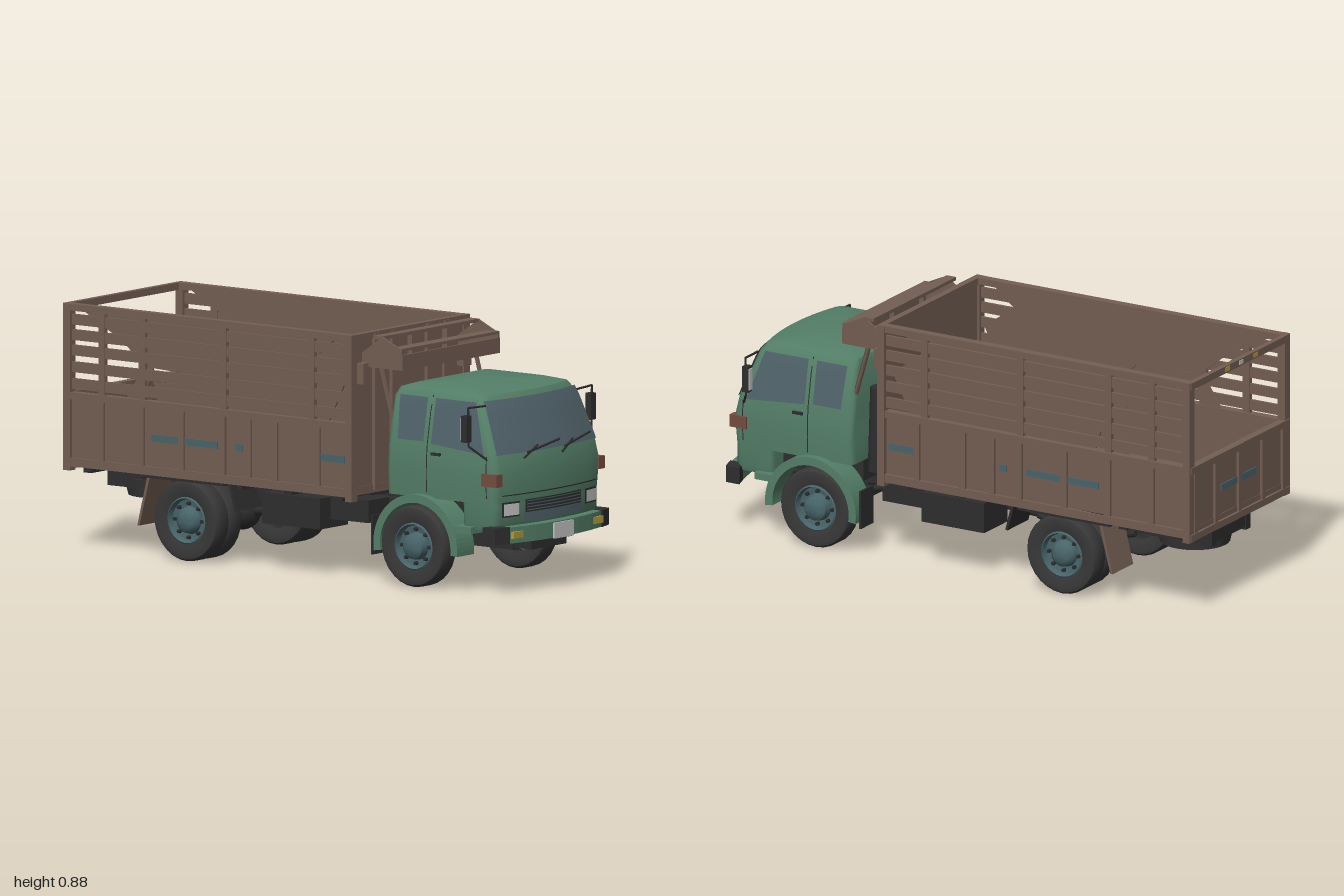
import * as THREE from 'three';
import { toCreasedNormals } from 'three/addons/utils/BufferGeometryUtils.js';

const V = (x, y, z) => new THREE.Vector3(x, y, z);
const mat = (name, color) => new THREE.MeshStandardMaterial({ name, color, side: THREE.DoubleSide });

// Cab sections: height, half width, back z, front z
const cabLevels = [
  [0.32, 0.300, 0.435, 0.955], [0.42, 0.305, 0.435, 0.962], [0.50, 0.300, 0.435, 0.945],
  [0.67, 0.270, 0.440, 0.878], [0.698, 0.252, 0.450, 0.858], [0.712, 0.205, 0.490, 0.800],
];
const BOW = 0.035;

function cabAt(y) {
  const L = cabLevels;
  if (y <= L[0][0]) return L[0];
  const i = Math.max(1, L.findIndex(l => l[0] >= y));
  const t = (y - L[i - 1][0]) / (L[i][0] - L[i - 1][0]);
  return L[i].map((v, k) => L[i - 1][k] + (v - L[i - 1][k]) * t);
}
function frontZ(x, y) {
  const l = cabAt(y);
  return l[3] - BOW * (x / l[1]) ** 2;
}

// Rounded, bowed-front sections joined upwards and capped
function loft(levels, r = 0.025) {
  const pos = [], idx = [];
  let n = 0;
  for (const [y, w, zb, zf] of levels) {
    const ring = [];
    [[1, 1], [-1, 1], [-1, -1], [1, -1]].forEach(([sx, sz], c) => {
      for (let k = 0; k <= 4; k++) {
        const a = (c + k / 4) * Math.PI / 2;
        ring.push([sx * (w - r) + r * Math.cos(a), (sz > 0 ? zf - r : zb + r) + r * Math.sin(a)]);
      }
      if (c === 0) for (let k = 1; k < 8; k++) ring.push([(w - r) * (1 - k / 4), zf]);
    });
    n = ring.length;
    for (const [x, z] of ring) pos.push(x, y, z - BOW * (x / w) ** 2 * (z - zb) / (zf - zb));
  }
  const rows = levels.length;
  for (let i = 0; i < rows - 1; i++) for (let j = 0; j < n; j++) {
    const a = i * n + j, b = i * n + (j + 1) % n;
    idx.push(a, a + n, b, b, a + n, b + n);
  }
  for (const [row, top] of [[0, false], [rows - 1, true]]) {
    const c = pos.length / 3, l = levels[row];
    pos.push(0, l[0] + (top ? 0.003 : 0), (l[2] + l[3]) / 2);
    for (let j = 0; j < n; j++) {
      const a = row * n + j, b = row * n + (j + 1) % n;
      top ? idx.push(c, b, a) : idx.push(c, a, b);
    }
  }
  const g = new THREE.BufferGeometry();
  g.setAttribute('position', new THREE.Float32BufferAttribute(pos, 3));
  g.setIndex(idx);
  return toCreasedNormals(g, 0.6);
}

// Four-cornered thin patch laid on the cab: corners are bottom pair then top pair
function patch(c, toSurface) {
  const g = new THREE.PlaneGeometry(1, 1, 14, 6), p = g.attributes.position;
  for (let i = 0; i < p.count; i++) {
    const s = p.getX(i) + 0.5, t = p.getY(i) + 0.5;
    const mix = k => (c[0][k] * (1 - s) + c[1][k] * s) * (1 - t) + (c[2][k] * (1 - s) + c[3][k] * s) * t;
    p.setXYZ(i, ...toSurface(mix(0), mix(1)));
  }
  g.computeVertexNormals();
  return g;
}
const onFront = (lift = 0.004) => (x, y) => [x, y, frontZ(x, y) + lift];
const onSide = s => (z, y) => [s * (cabAt(y)[1] + 0.003), y, z];
const rect = (x0, x1, y0, y1) => [[x0, y0], [x1, y0], [x0, y1], [x1, y1]];

// Side profile (z, y) extruded between two x positions
function sideExtrude(shape, x0, x1) {
  return new THREE.ExtrudeGeometry(shape, { depth: x1 - x0, bevelEnabled: false, curveSegments: 20 })
    .rotateY(-Math.PI / 2).translate(x1, 0, 0);
}

export function createModel() {
  const truck = new THREE.Group();
  truck.name = 'truck';
  const M = {
    green: mat('cab green', 0x547f68), brown: mat('cargo brown', 0x735e53), black: mat('chassis black', 0x2e2e2e),
    tyre: mat('tyre rubber', 0x383838), glass: mat('window glass', 0x50626a), teal: mat('faded teal', 0x48656a),
    white: mat('lamp white', 0xc4c4c4), yellow: mat('indicator yellow', 0xb59a38), amber: mat('marker brown', 0x744c40),
  };
  const add = (name, material, geo) => {
    const m = new THREE.Mesh(geo, material);
    m.name = name;
    truck.add(m);
    return m;
  };
  // Box given by its extents
  const box = (name, m, x0, x1, y0, y1, z0, z1) => add(name, m,
    new THREE.BoxGeometry(Math.abs(x1 - x0), y1 - y0, z1 - z0).translate((x0 + x1) / 2, (y0 + y1) / 2, (z0 + z1) / 2));
  const beam = (name, m, a, b, r = 0.005, sides = 6) => {
    const d = b.clone().sub(a);
    const o = add(name, m, new THREE.CylinderGeometry(r, r, d.length(), sides));
    o.position.copy(a).addScaledVector(d, 0.5);
    o.quaternion.setFromUnitVectors(V(0, 1, 0), d.normalize());
    return o;
  };

  // Cab shell, nose and front glass
  add('cab', M.green, loft(cabLevels));
  add('nose', M.green, loft([[0.225, 0.292, 0.77, 0.945], [0.25, 0.298, 0.77, 0.955], [0.33, 0.300, 0.77, 0.955]]));
  add('windscreen', M.glass, patch([[-0.285, 0.495], [0.285, 0.495], [-0.262, 0.68], [0.262, 0.68]], onFront()));
  add('grille', M.black, patch(rect(-0.16, 0.16, 0.282, 0.328), onFront()));
  add('lowerGrille', M.glass, patch(rect(-0.165, 0.165, 0.252, 0.28), onFront()));
  add('panelSeam', M.black, patch(rect(-0.27, 0.27, 0.348, 0.352), onFront(0.003)));
  for (let i = 0; i < 4; i++) {
    const y = 0.288 + i * 0.011;
    add('grilleBar', M.glass, patch(rect(-0.155, 0.155, y, y + 0.004), onFront(0.008)));
  }
  for (const x of [-0.165, 0.04]) {
    const at = (px, y) => V(px, y, frontZ(px, y) + 0.01);
    beam('wiperArm', M.black, at(x, 0.478), at(x + 0.08, 0.515), 0.004);
    beam('wiperBlade', M.black, at(x + 0.02, 0.495), at(x + 0.205, 0.522), 0.004);
  }

  // Bowed bumper
  const bumper = (name, m, x0, x1, y0, y1, out) => {
    const f = [], b = [];
    for (let i = 0; i <= 12; i++) {
      const x = x0 + (x1 - x0) * i / 12, z = 0.992 + out - 0.055 * (x / 0.33) ** 2;
      f.push(new THREE.Vector2(x, z));
      b.unshift(new THREE.Vector2(x, z - 0.05 - out));
    }
    add(name, m, new THREE.ExtrudeGeometry(new THREE.Shape([...f, ...b]), { depth: y1 - y0, bevelEnabled: false })
      .rotateX(Math.PI / 2).translate(0, y1, 0));
  };
  bumper('bumper', M.green, -0.275, 0.275, 0.182, 0.24, 0);
  box('numberPlate', M.white, -0.056, 0.056, 0.18, 0.236, 0.992, 0.999);
  box('frontUnderTray', M.black, -0.1, 0.1, 0.14, 0.2, 0.85, 0.93);

  const archRing = new THREE.Shape();
  archRing.absarc(0.59, 0.145, 0.188, -0.1, Math.PI + 0.15, false);
  archRing.absarc(0.59, 0.145, 0.158, Math.PI + 0.15, -0.1, true);

  // Wheel, axis along x
  const tyreProfile = [[0.085, -0.03], [0.12, -0.04], [0.138, -0.036], [0.145, -0.026], [0.145, 0.026],
    [0.138, 0.036], [0.12, 0.04], [0.085, 0.03]].map(p => new THREE.Vector2(...p));
  const rimProfile = s => [[0.088, 0.028], [0.08, 0.034], [0.074, 0.012], [0.05, 0.008], [0.044, s], [0.028, s + 0.012], [0, s + 0.012]]
    .map(p => new THREE.Vector2(...p));
  const wheel = (s, x, z, hub) => {
    const turn = g => toCreasedNormals(g.rotateZ(-s * Math.PI / 2), 0.7).translate(s * x, 0.145, z);
    add('tyre', M.tyre, turn(new THREE.LatheGeometry(tyreProfile, 28)));
    add('wheelRim', hub === null ? M.black : M.teal, turn(new THREE.LatheGeometry(rimProfile(hub ?? 0.01), 24)));
    if (hub === null) return;
    for (let i = 0; i < 8; i++) {
      const a = i * Math.PI / 4;
      add('wheelNut', M.black, turn(new THREE.CylinderGeometry(0.007, 0.007, 0.014, 6)
        .translate(0.061 * Math.cos(a), 0.016, 0.061 * Math.sin(a))));
    }
  };

  for (const s of [1, -1]) {
    const sbox = (n, m, x0, x1, ...r) => box(n, m, s * x0, s * x1, ...r);
    const span = (shape, x0, x1) => sideExtrude(shape, Math.min(s * x0, s * x1), Math.max(s * x0, s * x1));

    // Cab sides, lamps, doors and mirrors
    add('doorWindow', M.glass, patch([[0.635, 0.515], [0.875, 0.495], [0.635, 0.675], [0.815, 0.675]], onSide(s)));
    add('quarterWindow', M.glass, patch([[0.485, 0.52], [0.6, 0.52], [0.475, 0.675], [0.6, 0.675]], onSide(s)));
    for (const z of [0.617, 0.885])
      add('doorSeam', M.black, patch(rect(z, z + 0.004, 0.34, z > 0.8 ? 0.49 : 0.685), onSide(s)));
    sbox('doorHandle', M.black, 0.298, 0.31, 0.475, 0.485, 0.64, 0.68);
    sbox('sideMarker', M.amber, 0.278, 0.312, 0.385, 0.43, 0.87, 0.938);
    add('headlight', M.white, patch(rect(s * 0.228 - 0.036, s * 0.228 + 0.036, 0.278, 0.32), onFront(0.007)));
    add('headlightFrame', M.black, patch(rect(s * 0.228 - 0.042, s * 0.228 + 0.042, 0.272, 0.326), onFront(0.004)));
    bumper('bumperEnd', M.black, Math.min(s * 0.265, s * 0.328), Math.max(s * 0.265, s * 0.328), 0.182, 0.242, 0.006);
    sbox('indicator', M.yellow, 0.203, 0.258, 0.2, 0.224, 0.962, 0.974);
    sbox('mirror', M.black, 0.343, 0.372, 0.545, 0.64, 0.825, 0.85);
    sbox('mirrorGlass', M.white, 0.346, 0.369, 0.553, 0.632, 0.821, 0.825);
    const arm = [V(s * 0.262, 0.665, 0.85), V(s * 0.355, 0.668, 0.845), V(s * 0.352, 0.53, 0.845), V(s * 0.295, 0.475, 0.89)];
    for (let i = 0; i < 3; i++) beam('mirrorArm', M.black, arm[i], arm[i + 1], 0.004);
    add('frontFender', M.green, span(archRing, 0.235, 0.333));
    sbox('cabStep', M.green, 0.235, 0.32, 0.21, 0.235, 0.75, 0.83);
    sbox('frontMudflap', M.black, 0.24, 0.325, 0.1, 0.24, 0.385, 0.393);

    // Wheels
    wheel(s, 0.293, 0.575, 0.036);
    wheel(s, 0.293, -0.445, 0.03);
    wheel(s, 0.22, -0.445, null);

    // Frame rails, springs and side tanks
    sbox('frameRail', M.black, 0.1, 0.13, 0.205, 0.275, -0.95, 0.9);
    for (const z of [0.575, -0.445]) {
      beam('leafSpring', M.black, V(s * 0.15, 0.21, z - 0.2), V(s * 0.15, 0.16, z), 0.013);
      beam('leafSpring', M.black, V(s * 0.15, 0.16, z), V(s * 0.15, 0.21, z + 0.2), 0.013);
    }
    sbox('sideTank', M.black, 0.15, 0.31, 0.165, 0.275, -0.115, 0.145);
    sbox('batteryBox', M.black, 0.15, 0.27, 0.2, 0.28, 0.16, 0.33);
    sbox('rearWheelHousing', M.black, 0.16, 0.335, 0.285, 0.325, -0.65, -0.27);
    for (const [z, lean] of [[-0.61, -0.05], [-0.255, 0.03]])
      add('rearMudflap', z < -0.5 ? M.brown : M.black, span(new THREE.Shape([[z, 0.31], [z + lean, z < -0.5 ? 0.11 : 0.2],
        [z + lean + 0.01, z < -0.5 ? 0.11 : 0.2], [z + 0.012, 0.31]].map(p => new THREE.Vector2(...p))), 0.19, 0.33));

    // Cargo sides: panel, rails, ribs, slats
    sbox('sidePanel', M.brown, 0.312, 0.326, 0.3, 0.56, -0.975, 0.3);
    for (const [y0, y1] of [[0.295, 0.325], [0.535, 0.56], [0.852, 0.876]])
      sbox('sideRail', M.brown, 0.306, 0.338, y0, y1, -0.985, 0.31);
    for (const z of [0.15, -0.04, -0.16, -0.275, -0.46, -0.64, -0.82])
      sbox('sideRib', M.brown, 0.32, 0.336, 0.31, 0.55, z - 0.012, z + 0.012);
    for (const z of [0.295, -0.97]) sbox('cornerPost', M.brown, 0.306, 0.34, 0.28, 0.876, z - 0.015, z + 0.015);
    for (const z of [0.12, -0.275, -0.64, -0.82]) sbox('upperPost', M.brown, 0.314, 0.33, 0.55, 0.86, z - 0.014, z + 0.014);
    for (const y of [0.59, 0.65, 0.71, 0.765, 0.82])
      sbox('slat', M.brown, 0.318, 0.328, y - 0.019, y + 0.019, -0.97, 0.3);
    // Torn sheeting inside the slats
    const sheet = new THREE.Shape([[0.19, 0.56], [0.26, 0.7], [0.14, 0.79], [0.22, 0.855], [-0.92, 0.855], [-0.74, 0.76],
      [-0.64, 0.68], [-0.72, 0.56], [-0.64, 0.56], [-0.6, 0.675], [-0.37, 0.665], [-0.34, 0.632], [-0.6, 0.625], [-0.58, 0.56]]
      .map(p => new THREE.Vector2(...p)));
    add('tornSheet', M.brown, span(sheet, 0.308, 0.314));
    for (const [z0, z1] of [[0.14, 0.27], [-0.45, -0.3], [-0.6, -0.47], [-0.22, -0.19]])
      sbox('paintStreak', M.teal, 0.326, 0.329, 0.415, 0.44, z0, z1);

    // Overhead rack ends and braces
    add('rackEnd', M.brown, span(new THREE.Shape([[0.31, 0.765], [0.485, 0.765], [0.49, 0.83], [0.4, 0.872], [0.31, 0.81]]
      .map(p => new THREE.Vector2(...p))), 0.272, 0.28));
    beam('rackBrace', M.brown, V(s * 0.27, 0.77, 0.385), V(s * 0.27, 0.58, 0.44), 0.01, 4);
    sbox('rackBracket', M.brown, 0.265, 0.31, 0.7, 0.775, 0.31, 0.34);
  }

  // Cargo floor, headboard, tailgate
  box('cargoFloor', M.brown, -0.325, 0.325, 0.3, 0.33, -0.98, 0.305);
  box('headboard', M.brown, -0.325, 0.325, 0.3, 0.87, 0.29, 0.302);
  box('headboardRail', M.brown, -0.335, 0.335, 0.85, 0.876, 0.285, 0.31);
  for (const x of [-0.2, -0.1, 0.1, 0.2]) box('headboardPost', M.brown, x - 0.012, x + 0.012, 0.31, 0.87, 0.3, 0.315);
  box('tailgate', M.brown, -0.32, 0.32, 0.285, 0.56, -0.978, -0.965);
  for (const y of [0.285, 0.535]) box('tailgateRail', M.brown, -0.335, 0.335, y, y + 0.025, -0.99, -0.96);
  for (const x of [-0.3, -0.16, 0, 0.16, 0.3]) box('tailgateRib', M.brown, x - 0.01, x + 0.01, 0.29, 0.55, -0.988, -0.97);
  box('tailStreak', M.teal, -0.12, 0.12, 0.415, 0.44, -0.982, -0.977);
  box('rearTopBar', M.brown, -0.335, 0.335, 0.85, 0.876, -0.99, -0.97);
  for (const [m, x] of [[M.yellow, 0.092], [M.white, 0], [M.yellow, -0.1]])
    box('reflector', m, x - 0.013, x + 0.013, 0.856, 0.872, -0.992, -0.989);

  // Overhead rack above the cab
  box('rackFloor', M.brown, -0.28, 0.28, 0.76, 0.768, 0.305, 0.488);
  box('rackLip', M.brown, -0.28, 0.28, 0.76, 0.815, 0.483, 0.491);
  box('rackTopBar', M.brown, -0.28, 0.28, 0.862, 0.874, 0.36, 0.4);
  box('rackMidBar', M.brown, -0.28, 0.28, 0.828, 0.838, 0.44, 0.49);
  for (const x of [-0.1, 0.1]) box('rackStay', M.brown, x - 0.008, x + 0.008, 0.765, 0.865, 0.38, 0.4);

  // Running gear and underside
  box('cabUnderfloor', M.black, -0.22, 0.22, 0.24, 0.33, 0.44, 0.85);
  for (const z of [0.575, -0.445]) beam('axle', M.black, V(-0.27, 0.145, z), V(0.27, 0.145, z), 0.024, 12);
  add('differential', M.black, new THREE.SphereGeometry(0.068, 16, 12).translate(0, 0.145, -0.445));
  box('engine', M.black, -0.09, 0.09, 0.13, 0.27, 0.5, 0.84);
  beam('driveShaft', M.black, V(0, 0.2, 0.5), V(0, 0.15, -0.42), 0.018, 10);
  for (const z of [0.35, 0.0, -0.3, -0.65, -0.93]) box('crossMember', M.black, -0.12, 0.12, 0.215, 0.265, z - 0.015, z + 0.015);
  for (let i = 0; i < 6; i++) box('floorBearer', M.black, -0.3, 0.3, 0.272, 0.302, 0.2 - i * 0.225, 0.235 - i * 0.225);
  add('spareWheel', M.tyre, new THREE.CylinderGeometry(0.14, 0.125, 0.065, 28).translate(0, 0.205, -0.8));
  beam('airIntake', M.black, V(0.19, 0.28, 0.4), V(0.19, 0.59, 0.39), 0.034, 14);
  return truck;
}
